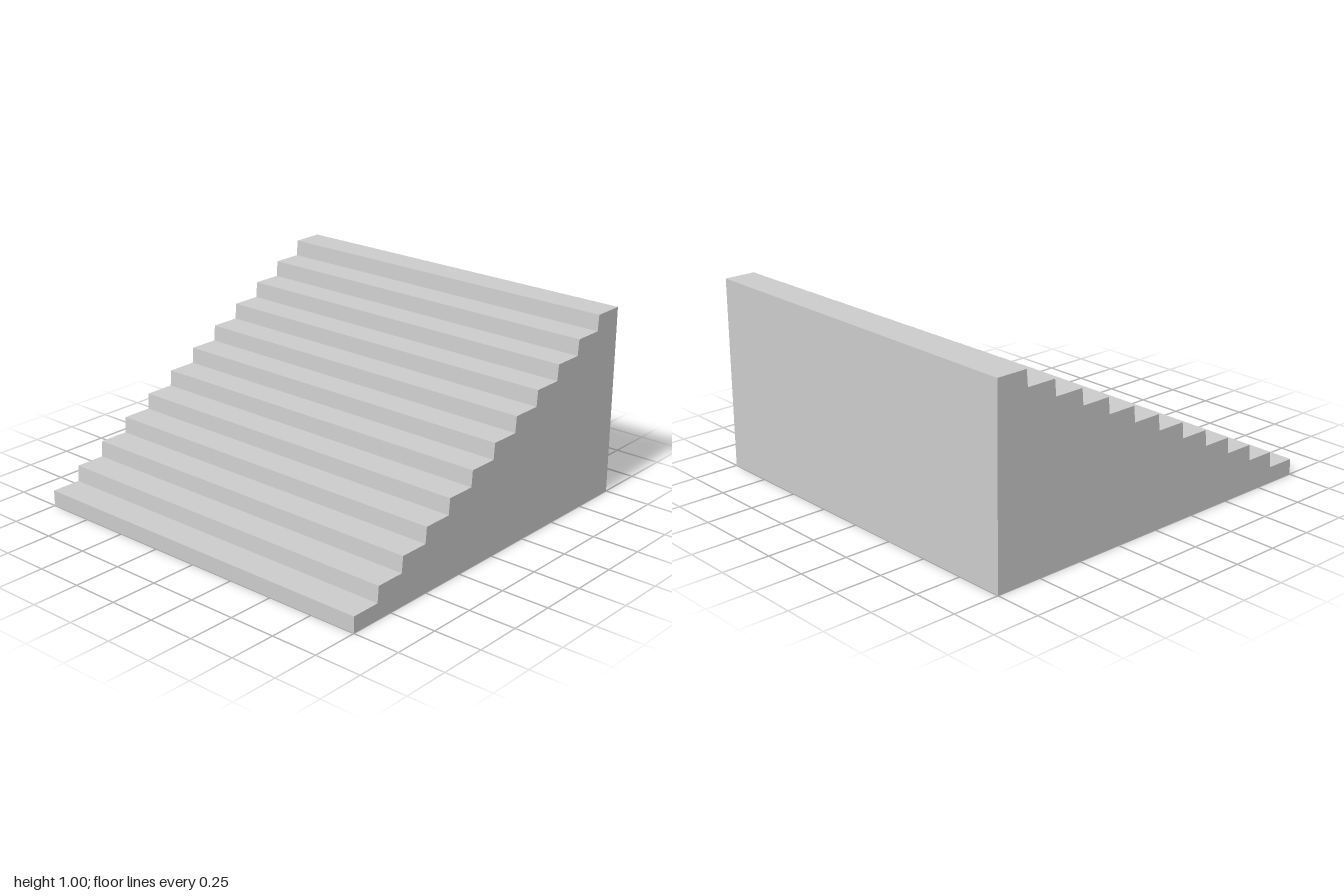
import * as THREE from 'three';

const STEPS = 12, WIDTH = 2, DEPTH = 2, HEIGHT = 1;
const LEAN = 0.007; // each riser's foot sits slightly ahead of its top edge

export function createModel() {
  const group = new THREE.Group();
  group.name = 'staircase';

  // Side profile: shape x runs along model z, shape y is up
  const profile = new THREE.Shape();
  profile.moveTo(-DEPTH / 2, 0);
  profile.lineTo(DEPTH / 2, 0);
  for (let i = 0; i < STEPS; i++) {
    const z = DEPTH / 2 - (i * DEPTH) / STEPS;
    if (i > 0) profile.lineTo(z + LEAN, (i * HEIGHT) / STEPS);
    profile.lineTo(z, ((i + 1) * HEIGHT) / STEPS);
  }
  profile.lineTo(-DEPTH / 2, HEIGHT);
  profile.closePath();

  // Solid flight of steps, swept across the full width
  const geometry = new THREE.ExtrudeGeometry(profile, { depth: WIDTH, bevelEnabled: false });
  geometry.translate(0, 0, -WIDTH / 2);
  geometry.rotateY(-Math.PI / 2);

  const steps = new THREE.Mesh(
    geometry,
    new THREE.MeshStandardMaterial({ color: 0xcccccc, flatShading: true })
  );
  steps.name = 'steps';
  group.add(steps);
  return group;
}
